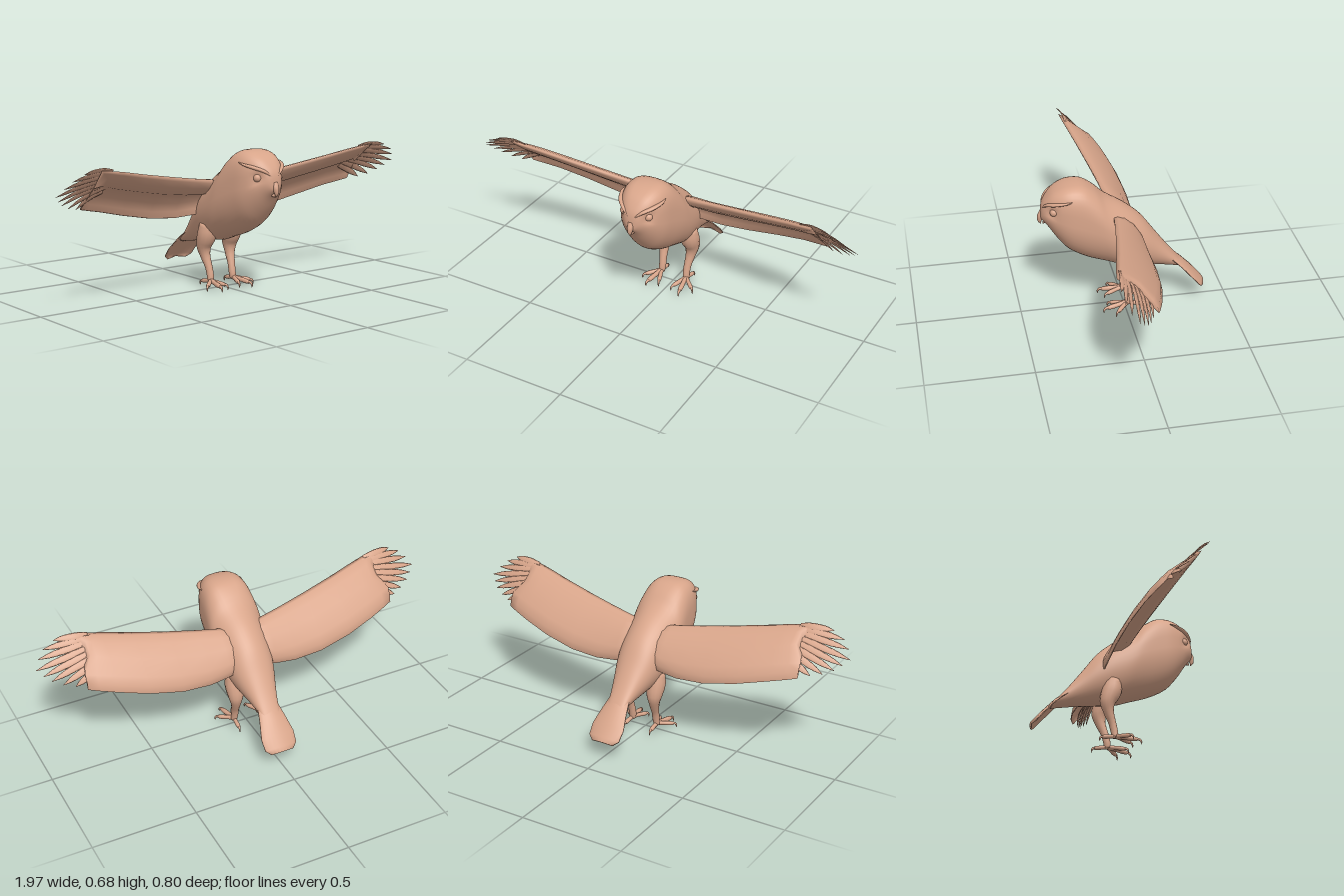
import * as THREE from 'three';

const V = (x, y, z) => new THREE.Vector3(x, y, z);
const material = new THREE.MeshStandardMaterial({ color: 0xd8a58a });

// Closed skin over rings of points, capped at both ends and always facing outwards.
function loft(rings) {
  const n = rings[0].length, m = rings.length, pts = rings.flat(), idx = [];
  for (let i = 0; i < m - 1; i++) {
    for (let j = 0; j < n; j++) {
      const a = i * n + j, b = i * n + (j + 1) % n;
      idx.push(a, b, b + n, a, b + n, a + n);
    }
  }
  const centre = r => r.reduce((s, p) => s.add(p), V(0, 0, 0)).divideScalar(n);
  const first = pts.length, last = first + 1;
  pts.push(centre(rings[0]), centre(rings[m - 1]));
  for (let j = 0; j < n; j++) {
    const k = (j + 1) % n;
    idx.push(first, k, j, last, (m - 1) * n + j, (m - 1) * n + k);
  }
  let volume = 0;
  for (let i = 0; i < idx.length; i += 3) {
    volume += pts[idx[i]].dot(pts[idx[i + 1]].clone().cross(pts[idx[i + 2]]));
  }
  if (volume < 0) idx.reverse();
  const g = new THREE.BufferGeometry().setFromPoints(pts);
  g.setIndex(idx);
  g.computeVertexNormals();
  return g;
}

// Tapered limb through [x, y, z, radius] points; flat squashes it along "up".
function limb(pts, { up = V(0, 0, 1), flat = 1, sides = 10, steps = 12 } = {}) {
  const curve = new THREE.CatmullRomCurve3(pts.map(p => V(p[0], p[1], p[2])));
  const radii = new THREE.CatmullRomCurve3(pts.map(p => V(p[3], 0, 0)));
  const rings = [];
  for (let i = 0; i <= steps; i++) {
    const u = i / steps, c = curve.getPoint(u), r = Math.max(radii.getPoint(u).x, 0.0005);
    const t = curve.getTangent(u), side = up.clone().cross(t).normalize();
    const nor = t.clone().cross(side), ring = [];
    for (let j = 0; j < sides; j++) {
      const a = j / sides * Math.PI * 2;
      ring.push(c.clone().addScaledVector(side, r * Math.cos(a)).addScaledVector(nor, r * flat * Math.sin(a)));
    }
    rings.push(ring);
  }
  return loft(rings);
}

// Torso and head: [topZ, topY, bottomZ, bottomY, halfWidth, crown roundness]
const BODY = [
  [0.393, 0.535, 0.390, 0.510, 0.012, 1],
  [0.385, 0.590, 0.383, 0.503, 0.034, 0.9],
  [0.365, 0.625, 0.358, 0.472, 0.062, 0.75],
  [0.330, 0.660, 0.315, 0.405, 0.090, 0.65],
  [0.270, 0.685, 0.265, 0.345, 0.113, 0.6],
  [0.200, 0.685, 0.190, 0.298, 0.124, 0.65],
  [0.145, 0.655, 0.080, 0.257, 0.132, 0.8],
  [0.095, 0.610, 0.015, 0.234, 0.130, 0.9],
  [0.000, 0.550, -0.070, 0.220, 0.116, 1],
  [-0.080, 0.480, -0.130, 0.210, 0.096, 1],
  [-0.150, 0.385, -0.190, 0.200, 0.072, 1],
  [-0.220, 0.290, -0.250, 0.188, 0.052, 1],
  [-0.290, 0.205, -0.298, 0.180, 0.040, 1],
];

function bodyGeometry() {
  const top = new THREE.CatmullRomCurve3(BODY.map(b => V(b[4], b[1], b[0])));
  const low = new THREE.CatmullRomCurve3(BODY.map(b => V(b[5], b[3], b[2])));
  const rings = [], steps = 48, sides = 40;
  for (let i = 0; i <= steps; i++) {
    const t = top.getPoint(i / steps), b = low.getPoint(i / steps), ring = [];
    for (let j = 0; j < sides; j++) {
      const a = j / sides * Math.PI * 2, c = Math.cos(a), s = Math.sin(a);
      const p = s > 0 ? b.x : 1;
      const k = Math.sign(s) * Math.abs(s) ** p;
      const q = V(t.x * Math.sign(c) * Math.abs(c) ** p, (t.y + b.y) / 2 + k * (t.y - b.y) / 2, (t.z + b.z) / 2 + k * (t.z - b.z) / 2);
      // eye sockets
      const d = Math.hypot(Math.abs(q.x) - 0.073, (q.y - 0.572) * 1.2, q.z - 0.345);
      const dent = 0.014 * Math.exp(-((d / 0.026) ** 2));
      q.x -= Math.sign(q.x) * dent * 0.7;
      q.z -= dent * 0.7;
      ring.push(q);
    }
    rings.push(ring);
  }
  return loft(rings);
}

// Wing stations: [x, leadY, leadZ, trailY, trailZ, thickness]
const WING = [
  [0.04, 0.520, 0.060, 0.365, -0.060, 1.5],
  [0.12, 0.538, 0.065, 0.352, -0.075, 1.25],
  [0.22, 0.552, 0.080, 0.345, -0.084, 1],
  [0.36, 0.575, 0.103, 0.357, -0.088, 0.95],
  [0.52, 0.603, 0.132, 0.390, -0.073, 0.85],
  [0.66, 0.630, 0.160, 0.425, -0.043, 0.7],
  [0.74, 0.643, 0.175, 0.443, -0.018, 0.55],
  [0.79, 0.648, 0.182, 0.455, 0.000, 0.4],
];
// Wing section: [chord position, offset towards the back]
const SECTION = [[0, 0], [0.05, 0.014], [0.2, 0.03], [0.45, 0.04], [0.75, 0.036], [0.9, 0.022], [1, 0.002],
  [0.98, -0.002], [0.88, 0.014], [0.72, 0.027], [0.52, 0.022], [0.4, -0.002], [0.2, -0.012], [0.06, -0.009]];

function wingGeometry(s) {
  return loft(WING.map(([x, ly, lz, ty, tz, th], i) => {
    const dy = ty - ly, dz = tz - lz, len = Math.hypot(dy, dz);
    return SECTION.map(([t, o]) => {
      // the end is notched where the long feathers fan out
      const notch = i > 5 ? (i - 5) * 0.03 * Math.sin(Math.PI * Math.min(t / 0.65, 1)) : 0;
      const off = o > 0.01 ? o * (0.6 + 0.4 * th) : o * th;
      return V(s * (x - notch), ly + dy * t - dz / len * off, lz + dz * t + dy / len * off);
    });
  }));
}

// Flight feathers: [baseX, baseY, baseZ, tipX, tipY, tipZ]
const FEATHERS = [
  [0.72, 0.630, 0.165, 0.875, 0.640, 0.180],
  [0.71, 0.620, 0.152, 0.930, 0.612, 0.172],
  [0.70, 0.607, 0.138, 0.962, 0.580, 0.152],
  [0.69, 0.594, 0.122, 0.985, 0.545, 0.122],
  [0.69, 0.580, 0.106, 0.960, 0.520, 0.098],
  [0.69, 0.565, 0.090, 0.930, 0.498, 0.076],
  [0.69, 0.548, 0.072, 0.885, 0.477, 0.055],
  [0.70, 0.525, 0.050, 0.835, 0.465, 0.035],
];

// Toes: [tipX, tipZ, girth]
const TOES = [[0.040, 0.070, 0.9], [0.086, 0.092, 1], [0.126, 0.048, 0.9], [0.072, -0.070, 0.9]];

export function createModel() {
  const model = new THREE.Group();
  const add = (name, geometry, parent = model) => {
    const mesh = new THREE.Mesh(geometry, material);
    mesh.name = name;
    parent.add(mesh);
    return mesh;
  };
  const group = name => {
    const g = new THREE.Group();
    g.name = name;
    model.add(g);
    return g;
  };

  add('body', bodyGeometry());

  // Tail: a thin fan drooping at its edges
  const tailRows = [[0.31, -0.19, 0.03], [0.262, -0.235, 0.05], [0.215, -0.288, 0.065], [0.155, -0.342, 0.083], [0.112, -0.378, 0.08], [0.094, -0.394, 0.055]];
  add('tail', loft(tailRows.map(([y, z, w]) => {
    const ring = [];
    for (let side = 0; side < 2; side++) {
      for (let j = 0; j <= 8; j++) {
        const k = (side ? 1 : -1) * (1 - j / 4), droop = 0.016 * k * k + side * 0.006;
        ring.push(V(w * k, y - droop * 0.65, z + droop * 0.75));
      }
    }
    return ring;
  })));

  // Hooked beak
  const beak = group('beak');
  add('upperBeak', limb([[0, 0.545, 0.378, 0.018], [0, 0.522, 0.391, 0.016], [0, 0.5, 0.395, 0.010], [0, 0.482, 0.389, 0.001]], { up: V(1, 0, 0), flat: 0.9 }), beak);
  add('lowerBeak', limb([[0, 0.503, 0.355, 0.014], [0, 0.492, 0.372, 0.010], [0, 0.483, 0.382, 0.001]], { up: V(1, 0, 0) }), beak);

  for (const s of [1, -1]) {
    const sideName = s > 0 ? 'left' : 'right';

    // Eye under a slanting brow
    const eye = add(sideName + 'Eye', new THREE.SphereGeometry(0.019, 16, 12));
    eye.position.set(s * 0.063, 0.571, 0.336);
    add(sideName + 'Brow', limb([[s * 0.016, 0.578, 0.383, 0.004], [s * 0.046, 0.602, 0.366, 0.011], [s * 0.080, 0.618, 0.334, 0.012], [s * 0.104, 0.630, 0.285, 0.008], [s * 0.106, 0.637, 0.255, 0.002]], { up: V(0, 1, 0), flat: 0.7 }));

    // Wing with fingered tip
    const wing = group(sideName + 'Wing');
    add('wingPanel', wingGeometry(s), wing);
    for (const [bx, by, bz, tx, ty, tz] of FEATHERS) {
      const at = (u, r, lift) => [s * (bx + (tx - bx) * u), by + (ty - by) * u + lift, bz + (tz - bz) * u - lift, r];
      add('flightFeather', limb([at(0, 0.012, 0.008), at(0.35, 0.017, 0.012), at(0.75, 0.014, 0.007), at(1, 0.001, 0)], { up: V(0, 0.64, -0.77), flat: 0.2, sides: 8, steps: 8 }), wing);
    }

    // Leg, toes and claws
    const leg = group(sideName + 'Leg');
    add('shank', limb([[s * 0.070, 0.315, -0.02, 0.042], [s * 0.074, 0.262, -0.028, 0.047], [s * 0.077, 0.205, -0.047, 0.037], [s * 0.074, 0.160, -0.042, 0.025], [s * 0.068, 0.105, -0.022, 0.018], [s * 0.066, 0.060, -0.011, 0.017], [s * 0.068, 0.034, -0.008, 0.015]], { flat: 1, sides: 14, steps: 18 }), leg);
    for (const [tx, tz, k] of TOES) {
      const x0 = 0.068, z0 = -0.006;
      const at = (u, y, r) => [s * (x0 + (tx - x0) * u), y, z0 + (tz - z0) * u, r * k];
      add('toe', limb([at(0, 0.040, 0.013), at(0.4, 0.036, 0.011), at(0.75, 0.032, 0.012), at(1, 0.029, 0.009)], { up: V(0, 1, 0), sides: 8, steps: 8 }), leg);
      add('claw', limb([at(0.93, 0.031, 0.008), at(1.12, 0.028, 0.006), at(1.2, 0.016, 0.004), at(1.18, 0.005, 0.0006)], { up: V(1, 0, 0.01), sides: 8, steps: 8 }), leg);
    }
  }
  return model;
}
